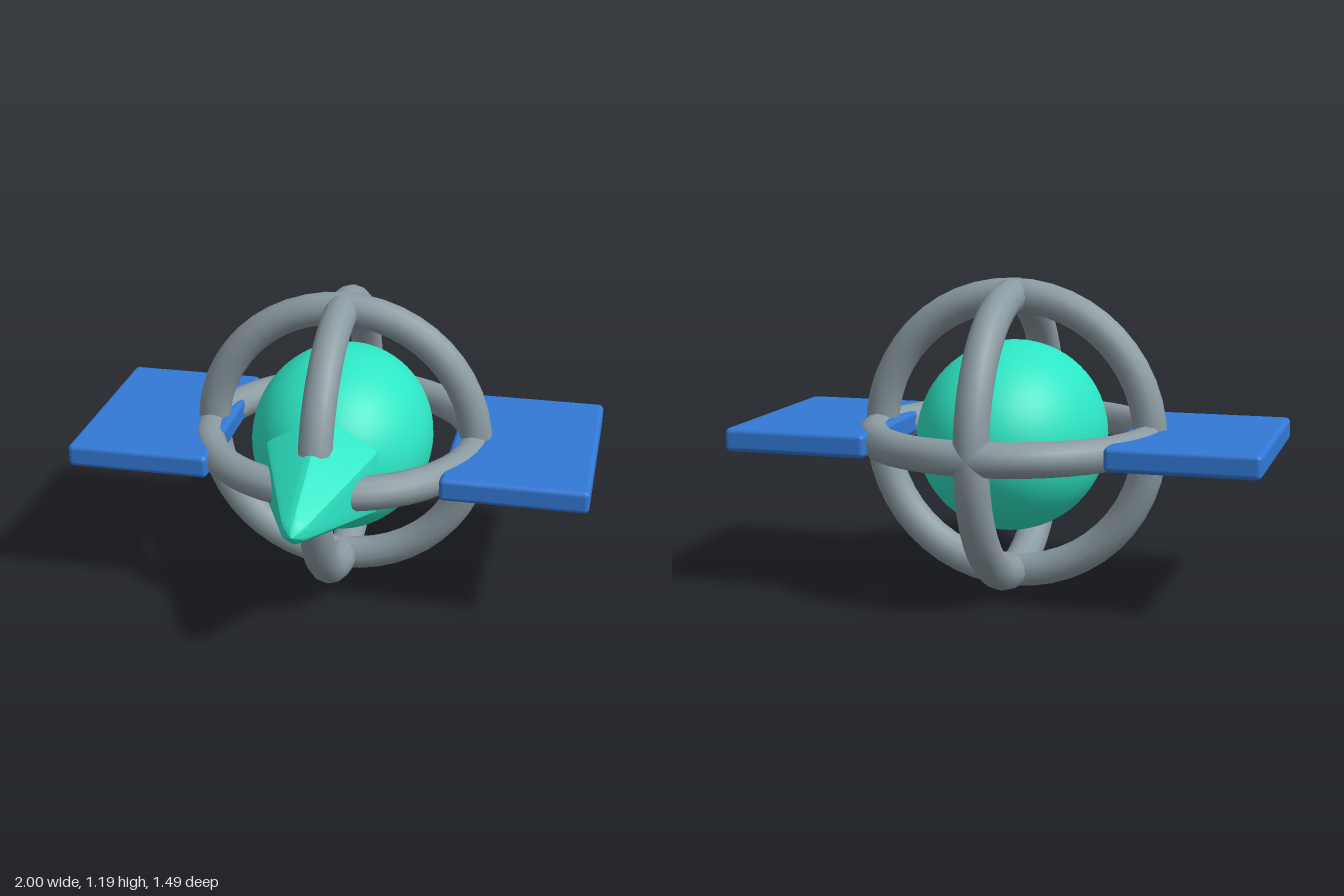
import * as THREE from 'three';
import { toCreasedNormals } from 'three/addons/utils/BufferGeometryUtils.js';
import { RoundedBoxGeometry } from 'three/addons/geometries/RoundedBoxGeometry.js';

const material = (color) => new THREE.MeshStandardMaterial({ color });

// Six-sided cone along +z with softened corners, lofted from [z, radius] rings
function hexCone(sections, corner) {
  const n = 18, pos = [], index = [];
  for (const [z, r] of sections) {
    const cut = Math.min(corner, r * 0.3);
    for (let i = 0; i < n; i++) {
      const side = Math.floor(i / 3), a = Math.PI / 2 + side * Math.PI / 3;
      const c = new THREE.Vector2(Math.cos(a), Math.sin(a)).multiplyScalar(r);
      const k = (i % 3) - 1; // before, on and after the corner
      const b = a + k * Math.PI / 3;
      const next = new THREE.Vector2(Math.cos(b), Math.sin(b)).multiplyScalar(r);
      if (k === 0) c.multiplyScalar(1 - 0.2 * cut / Math.max(r, 1e-6));
      else c.lerp(next, cut / Math.max(r, 1e-6));
      pos.push(c.x, c.y, z);
    }
  }
  for (let s = 0; s < sections.length - 1; s++) {
    for (let i = 0; i < n; i++) {
      const a = s * n + i, b = s * n + (i + 1) % n;
      index.push(a, b, b + n, a, b + n, a + n);
    }
  }
  const g = new THREE.BufferGeometry();
  g.setAttribute('position', new THREE.Float32BufferAttribute(pos, 3));
  g.setIndex(index);
  return toCreasedNormals(g, 0.6);
}

export function createModel() {
  const model = new THREE.Group();
  const teal = material(0x2de6c5), blue = material(0x3279d6), grey = material(0x8b9ba2);
  const add = (name, geometry, mat, x, y, z) => {
    const mesh = new THREE.Mesh(geometry, mat);
    mesh.name = name;
    mesh.position.set(x, y, z);
    model.add(mesh);
    return mesh;
  };
  const cy = 0.597, cz = -0.15;

  // Egg-shaped body, stretched front to back
  add('body', new THREE.SphereGeometry(1, 48, 32), teal, 0, cy, cz).scale.set(0.357, 0.36, 0.43);

  // Three crossing rings
  const ring = new THREE.TorusGeometry(0.53, 0.065, 12, 48);
  add('crossRing', ring, grey, 0, cy, cz);
  add('uprightRing', ring, grey, 0, cy, cz).rotation.y = Math.PI / 2;
  add('levelRing', ring, grey, 0, cy, cz).rotation.x = Math.PI / 2;

  // Pointed nose
  const nose = hexCone([[0.23, 0], [0.23, 0.232], [0.237, 0.246], [0.25, 0.247],
    [0.685, 0.058], [0.705, 0.046], [0.735, 0.012], [0.745, 0]], 0.025);
  add('nose', nose, teal, 0, cy, 0);

  // Side panels
  const panel = new RoundedBoxGeometry(0.555, 0.09, 0.84, 3, 0.02);
  for (const [name, s] of [['leftPanel', 1], ['rightPanel', -1]]) {
    add(name, panel, blue, s * 0.7225, cy, cz);
  }
  return model;
}
